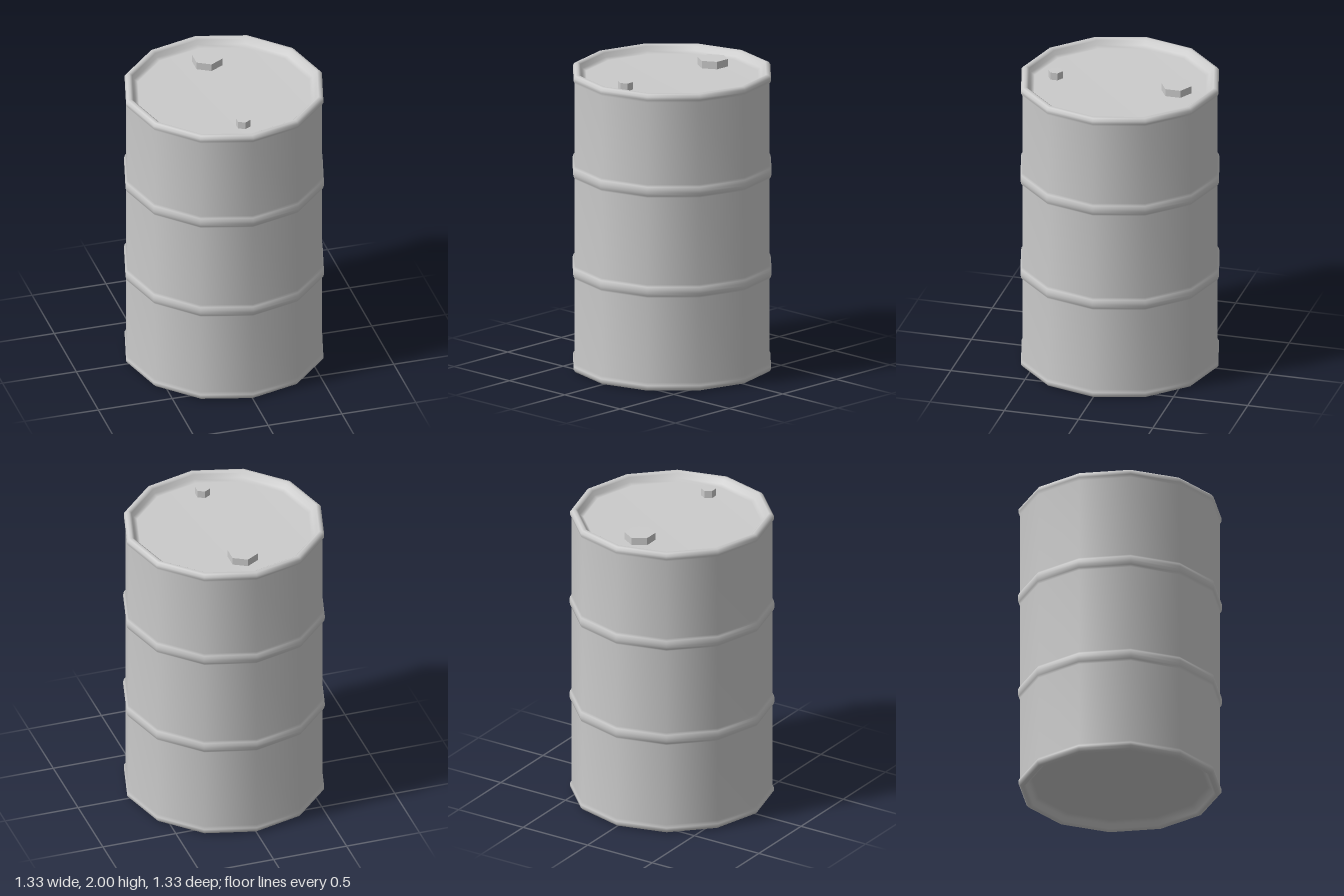
import * as THREE from 'three';

const material = new THREE.MeshStandardMaterial({ color: 0xcccccc });
const SIDES = 12;
const BODY = 0.653;
const LID = 1.945;

function addMesh(group, name, geometry, mat = material) {
  const mesh = new THREE.Mesh(geometry, mat);
  mesh.name = name;
  group.add(mesh);
  return mesh;
}

// Rolled rim at the bottom, from the recessed floor out to the wall
const rim = [
  [0, 0.055], [0.575, 0.055], [0.6, 0.04], [0.612, 0.012], [0.63, 0],
  [0.65, 0.004], [0.663, 0.02], [0.663, 0.04], [BODY, 0.058],
];

// Rounded hoop bulging out of the wall
const hoop = (y) => [
  [BODY, y - 0.044], [0.662, y - 0.03], [0.667, y - 0.01],
  [0.667, y + 0.01], [0.662, y + 0.03], [BODY, y + 0.044],
];

export function createModel() {
  const drum = new THREE.Group();
  drum.name = 'drum';

  // Shell: bottom rim, two hoops and the mirrored top rim in one profile
  const topRim = rim.map(([r, y]) => [r, 2 - y]).reverse();
  const profile = [...rim, ...hoop(0.672), ...hoop(1.345), ...topRim]
    .map(([r, y]) => new THREE.Vector2(r, y));
  addMesh(drum, 'shell', new THREE.LatheGeometry(profile, SIDES));

  // Hexagonal bungs on the recessed lid
  const bungs = [
    ['largeBung', 0.101, -0.38],
    ['smallBung', 0.049, 0.433],
  ];
  const flat = material.clone();
  flat.flatShading = true;
  for (const [name, radius, z] of bungs) {
    const height = 0.05;
    const bung = addMesh(drum, name, new THREE.CylinderGeometry(radius, radius, height, 6), flat);
    bung.position.set(0, LID + height / 2, z);
  }
  return drum;
}
